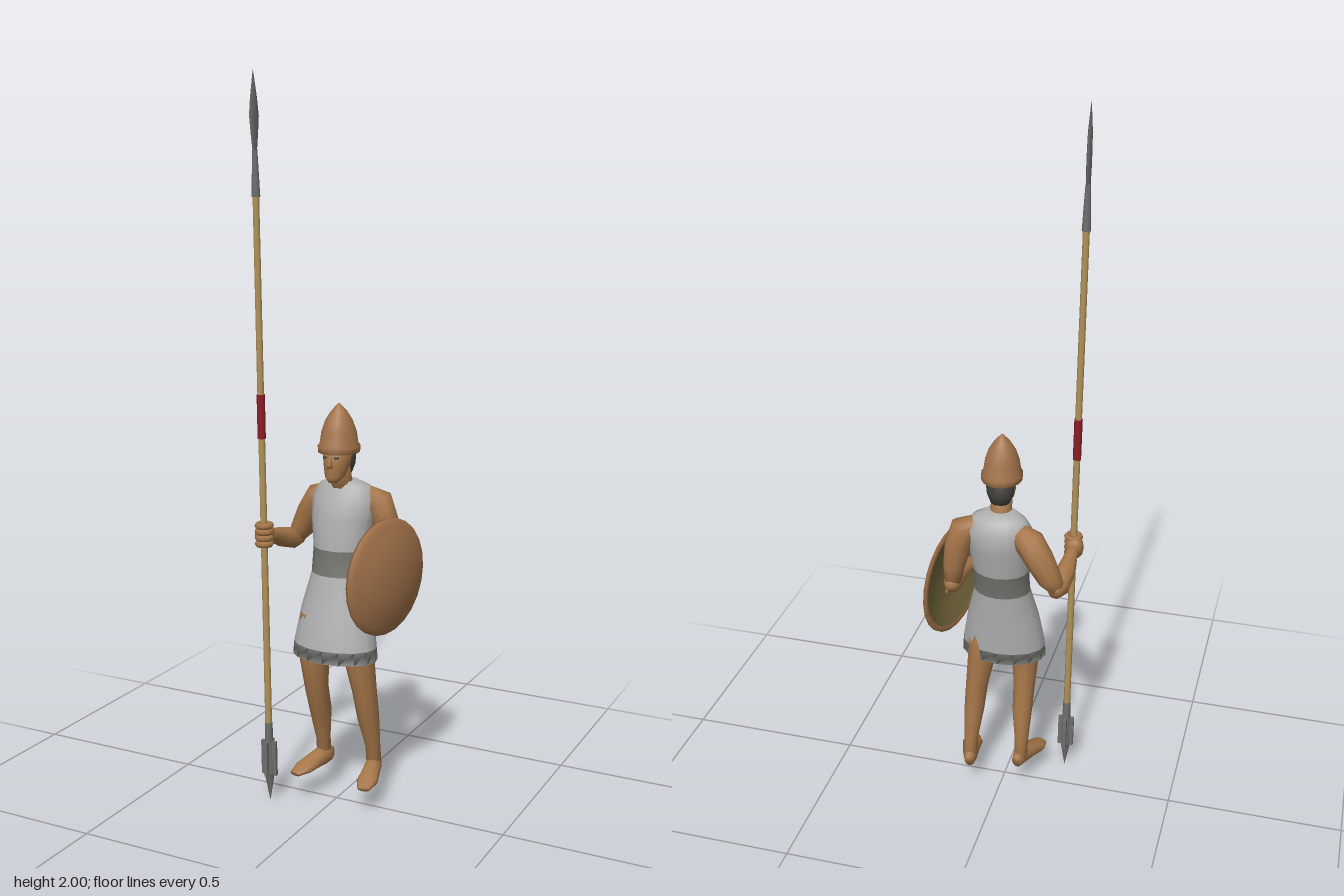
import * as THREE from 'three';

const paint = (name, color) => {
  const m = new THREE.MeshStandardMaterial({ color });
  m.name = name;
  return m;
};
const skin = paint('skin', 0xa67649);
const bronze = paint('bronze', 0xa3734a);
const linen = paint('linen', 0xb0b0b0);
const trim = paint('dark cloth', 0x73736f);
const hairMat = paint('hair', 0x41403b);
const wood = paint('shaft wood', 0xb3945a);
const red = paint('red binding', 0x8c1f26);
const iron = paint('iron', 0x6c706c);
const lining = paint('shield lining', 0x72653a);

// Skin elliptical rings [x, y, z, a, b]; flat keeps every ring horizontal.
// slots gives the material index of each segment.
function loft(rings, { n = 10, flat = false, ref = [0, 0, 1], slots = [] } = {}) {
  const pos = [], idx = [], geo = new THREE.BufferGeometry();
  const centre = rings.map(r => new THREE.Vector3(r[0], r[1], r[2]));
  const last = rings.length - 1, up = new THREE.Vector3(...ref);
  rings.forEach((r, i) => {
    const t = flat ? new THREE.Vector3(0, 1, 0)
      : centre[Math.min(i + 1, last)].clone().sub(centre[Math.max(i - 1, 0)]).normalize();
    const side = t.clone().cross(up).normalize();
    const b = side.clone().cross(t);
    for (let j = 0; j < n; j++) {
      const a = j / n * Math.PI * 2;
      const p = centre[i].clone().addScaledVector(side, r[3] * Math.cos(a))
        .addScaledVector(b, (r[4] ?? r[3]) * Math.sin(a));
      pos.push(p.x, p.y, p.z);
    }
  });
  pos.push(...centre[0].toArray(), ...centre[last].toArray());
  const c0 = rings.length * n, c1 = c0 + 1;
  for (let i = 0; i < last; i++) {
    const start = idx.length;
    for (let j = 0; j < n; j++) {
      const k = (j + 1) % n, a = i * n + j, c = i * n + k;
      if (i === 0) idx.push(c0, j, k);
      idx.push(a, a + n, c, a + n, c + n, c);
      if (i === last - 1) idx.push(c1, last * n + k, last * n + j);
    }
    if (slots.length) geo.addGroup(start, idx.length - start, slots[i]);
  }
  geo.setAttribute('position', new THREE.Float32BufferAttribute(pos, 3));
  geo.setIndex(idx);
  geo.computeVertexNormals();
  return geo;
}

function add(parent, name, geo, mat, x = 0, y = 0, z = 0) {
  const m = new THREE.Mesh(geo, mat);
  m.name = name;
  m.position.set(x, y, z);
  parent.add(m);
  return m;
}

function group(parent, name) {
  const g = new THREE.Group();
  g.name = name;
  parent.add(g);
  return g;
}

function makeSpear(parent) {
  const g = group(parent, 'spear');
  const base = new THREE.Vector3(-0.165, 0, 0.09), tip = new THREE.Vector3(-0.19, 2, 0.1);
  g.position.copy(base);
  g.quaternion.setFromUnitVectors(new THREE.Vector3(0, 1, 0), tip.sub(base).normalize());
  const rod = (name, mat, y0, y1, r0, r1, n = 8) =>
    add(g, name, new THREE.CylinderGeometry(r1, r0, y1 - y0, n), mat, 0, (y0 + y1) / 2, 0);
  rod('shaft', wood, 0.17, 1.7, 0.01, 0.009);
  rod('binding', red, 1.04, 1.16, 0.0115, 0.0115);
  rod('socket', iron, 1.68, 1.8, 0.012, 0.007);
  rod('buttSpike', iron, 0, 0.08, 0.001, 0.015);
  rod('buttCollar', iron, 0.08, 0.23, 0.015, 0.011);
  for (const a of [0, Math.PI / 2])
    add(g, 'buttFin', new THREE.BoxGeometry(0.046, 0.1, 0.01), iron, 0, 0.125, 0).rotation.y = a;
  add(g, 'blade', loft([[0, 1.79, 0, 0.006, 0.007], [0, 1.84, 0, 0.007, 0.019], [0, 1.885, 0, 0.007, 0.025],
    [0, 1.93, 0, 0.006, 0.018], [0, 2, 0, 0.0005, 0.001]], { n: 4, flat: true }), iron);
}

function makeShield(parent) {
  const g = group(parent, 'shield');
  g.position.set(0.15, 0.672, 0);
  g.quaternion.setFromUnitVectors(new THREE.Vector3(0, 1, 0), new THREE.Vector3(0.97, 0, 0.24).normalize());
  // lining from the centre out, over the rim, then back across the bowl
  const profile = [[0.026, 0.05], [0.016, 0.105], [-0.006, 0.147], [-0.006, 0.162],
    [0.001, 0.162], [0.009, 0.145], [0.025, 0.1], [0.034, 0.05]];
  add(g, 'bowl', loft(profile.map(([y, r]) => [0, y, 0, r, r]),
    { n: 24, flat: true, slots: [0, 0, 1, 1, 1, 1, 1] }), [lining, bronze]);
  add(g, 'armBand', new THREE.BoxGeometry(0.09, 0.006, 0.03), bronze, 0, 0.004, -0.01);
}

function makeHead(parent) {
  const g = group(parent, 'head');
  add(g, 'neck', loft([[0.005, 0.88, -0.035, 0.036], [0.005, 0.93, -0.014, 0.03, 0.032],
    [0.006, 0.98, -0.004, 0.03, 0.034]], { flat: true }), skin);
  add(g, 'face', loft([[0.006, 0.926, 0.032, 0.013, 0.015], [0.006, 0.94, 0.022, 0.026, 0.03],
    [0.006, 0.972, 0.009, 0.035, 0.043], [0.006, 1.02, 0.003, 0.041, 0.05]], { n: 12, flat: true }), skin);
  add(g, 'nose', loft([[0.006, 0.968, 0.052, 0.007, 0.011], [0.006, 0.976, 0.052, 0.007, 0.011],
    [0.006, 1.008, 0.047, 0.004, 0.005]], { n: 6, flat: true }), skin);
  for (const s of [-1, 1])
    add(g, 'eye', new THREE.BoxGeometry(0.012, 0.005, 0.008), hairMat, 0.006 + s * 0.016, 0.995, 0.045);
  add(g, 'hair', loft([[0.006, 0.945, -0.028, 0.026, 0.02], [0.006, 0.97, -0.026, 0.037, 0.027],
    [0.006, 1.02, -0.022, 0.043, 0.034]], { flat: true }), hairMat);
  add(g, 'helmet', loft([[1.005, 0.05], [1.005, 0.056], [1.022, 0.057], [1.026, 0.052], [1.06, 0.047],
    [1.09, 0.037], [1.115, 0.022], [1.137, 0.002]].map(([y, r]) => [0.007, y, 0, r, r * 1.1]),
  { n: 16, flat: true }), bronze);
}

function makeArms(parent) {
  const right = group(parent, 'rightArm');
  add(right, 'upperArm', loft([[-0.055, 0.875, -0.06, 0.03], [-0.088, 0.855, -0.068, 0.042],
    [-0.12, 0.81, -0.078, 0.04], [-0.148, 0.76, -0.08, 0.034], [-0.17, 0.725, -0.073, 0.022]]), skin);
  add(right, 'forearm', loft([[-0.164, 0.722, -0.095, 0.018], [-0.17, 0.728, -0.065, 0.03],
    [-0.176, 0.742, -0.01, 0.028], [-0.178, 0.762, 0.045, 0.019], [-0.178, 0.77, 0.075, 0.02]],
  { ref: [0, 1, 0] }), skin);
  add(right, 'palm', new THREE.SphereGeometry(0.027, 10, 8), skin, -0.18, 0.774, 0.082).scale.y = 1.25;
  for (let i = 0; i < 4; i++) {
    const finger = add(right, 'finger', new THREE.TorusGeometry(0.018, 0.009, 6, 10), skin,
      -0.175, 0.748 + i * 0.017, 0.092);
    finger.rotation.x = Math.PI / 2;
  }
  const left = group(parent, 'leftArm');
  add(left, 'upperArm', loft([[0.065, 0.885, -0.05, 0.025], [0.1, 0.865, -0.055, 0.04],
    [0.118, 0.81, -0.06, 0.037], [0.128, 0.75, -0.065, 0.031], [0.132, 0.7, -0.062, 0.024]]), skin);
  add(left, 'forearm', loft([[0.13, 0.692, -0.088, 0.016], [0.134, 0.69, -0.06, 0.027],
    [0.134, 0.685, -0.01, 0.026], [0.125, 0.68, 0.04, 0.018], [0.118, 0.68, 0.07, 0.022],
    [0.112, 0.68, 0.092, 0.012]], { ref: [0, 1, 0] }), skin);
}

function makeLegs(parent) {
  const legs = {
    right: [[[-0.05, 0.55, 0.025, 0.045], [-0.054, 0.43, 0.03, 0.041, 0.047], [-0.055, 0.33, 0.015, 0.032, 0.036],
      [-0.056, 0.25, -0.012, 0.029, 0.035], [-0.06, 0.16, -0.035, 0.02, 0.022], [-0.06, 0.1, -0.04, 0.02, 0.023]],
    [[-0.052, 0.1, -0.065, 0.014, 0.022], [-0.058, 0.108, -0.04, 0.022, 0.031], [-0.07, 0.1, 0, 0.026, 0.024],
      [-0.085, 0.09, 0.04, 0.031, 0.014], [-0.094, 0.084, 0.075, 0.018, 0.007]]],
    left: [[[0.058, 0.55, 0, 0.045], [0.067, 0.43, -0.005, 0.041, 0.048], [0.08, 0.33, -0.014, 0.033, 0.038],
      [0.085, 0.25, -0.028, 0.03, 0.034], [0.089, 0.16, -0.05, 0.021, 0.022], [0.09, 0.09, -0.058, 0.021, 0.023]],
    [[0.086, 0.09, -0.084, 0.014, 0.022], [0.09, 0.098, -0.058, 0.022, 0.032], [0.098, 0.089, -0.018, 0.026, 0.024],
      [0.106, 0.08, 0.022, 0.03, 0.014], [0.112, 0.073, 0.058, 0.018, 0.007]]],
  };
  for (const [side, [leg, foot]] of Object.entries(legs)) {
    const g = group(parent, side + 'Leg');
    add(g, 'leg', loft(leg), skin);
    add(g, 'foot', loft(foot, { ref: [0, 1, 0] }), skin);
  }
}

export function createModel() {
  const model = new THREE.Group();
  model.name = 'spearman';
  // sleeveless tunic: hollow hem, skirt, sash and chest
  add(model, 'tunic', loft([
    [0.008, 0.52, 0.015, 0.1, 0.066], [0.008, 0.435, 0.025, 0.124, 0.083], [0.007, 0.47, 0.023, 0.121, 0.081],
    [0.005, 0.57, 0.006, 0.104, 0.074], [0.004, 0.665, -0.01, 0.08, 0.064], [0.004, 0.735, -0.02, 0.079, 0.064],
    [0.004, 0.82, -0.032, 0.09, 0.073], [0.005, 0.875, -0.042, 0.094, 0.064],
    [0.005, 0.908, -0.04, 0.074, 0.046], [0.005, 0.922, -0.032, 0.04, 0.036]],
  { n: 16, flat: true, slots: [1, 1, 0, 0, 1, 0, 0, 0, 0] }), [linen, trim]);
  makeHead(model);
  makeArms(model);
  makeLegs(model);
  makeShield(model);
  makeSpear(model);
  return model;
}
